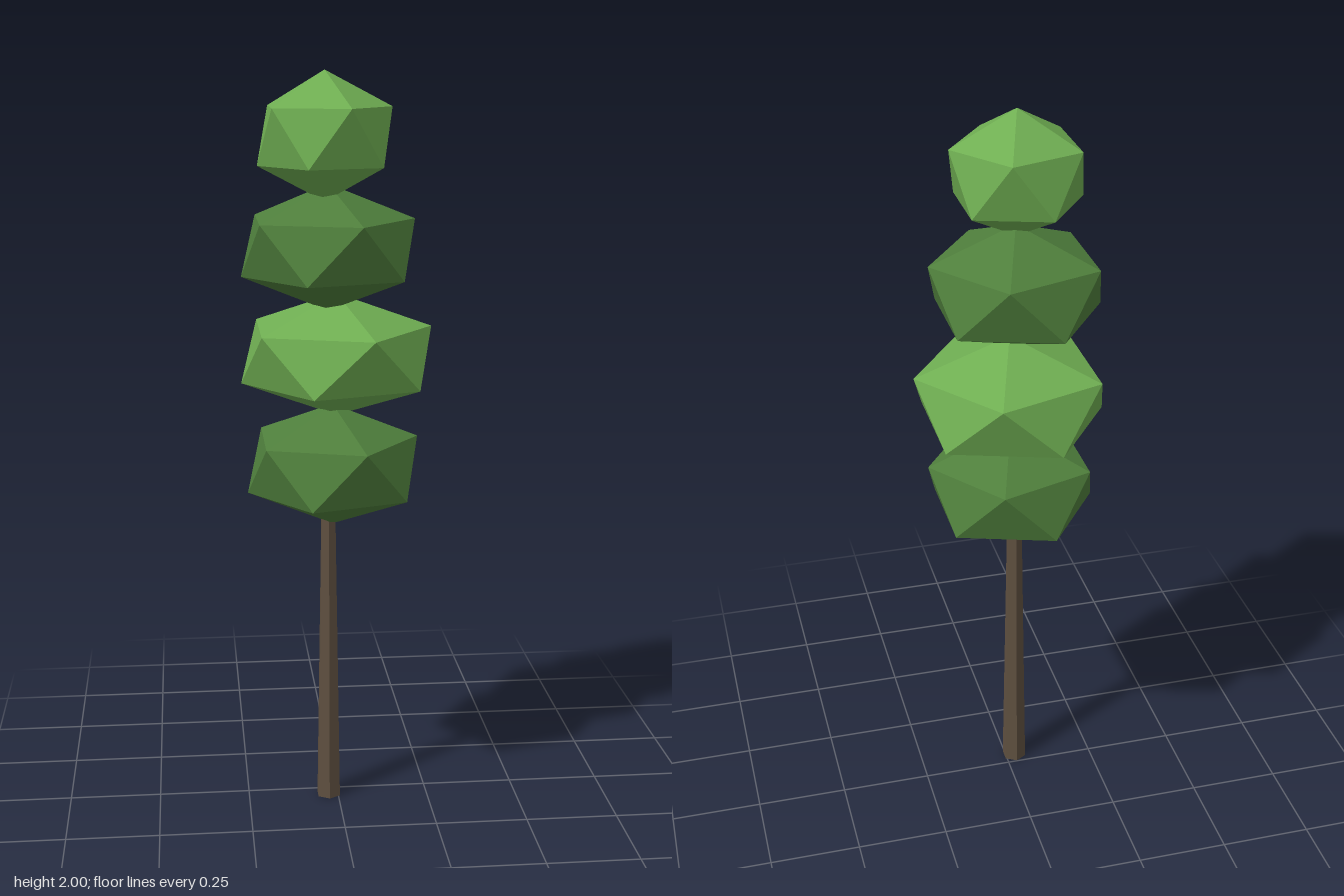
import * as THREE from 'three';

export function createModel() {
  const tree = new THREE.Group();
  tree.name = 'tree';

  const material = (color) => new THREE.MeshStandardMaterial({ color, flatShading: true });
  const lightLeaf = material(0x6fae52);
  const darkLeaf = material(0x4f7f3c);
  const bark = material(0x5f5040);

  // Tapered six-sided trunk, running up into the lowest foliage clump
  const trunkHeight = 0.9;
  const trunk = new THREE.Mesh(new THREE.CylinderGeometry(0.02, 0.035, trunkHeight, 6), bark);
  trunk.name = 'trunk';
  trunk.position.set(-0.026, trunkHeight / 2, 0.037);
  tree.add(trunk);

  // Icosahedron standing on a corner, with an upper-ring corner toward +x
  const clump = new THREE.IcosahedronGeometry(1, 0);
  clump.rotateZ(-Math.atan(2 / (1 + Math.sqrt(5))));

  // Stacked foliage clumps: centre x, y, z, horizontal radius, colour
  const clumps = [
    ['lowerFoliage', -0.014, 0.962, 0.034, 0.256, darkLeaf],
    ['middleFoliage', 0, 1.254, -0.009, 0.286, lightLeaf],
    ['upperFoliage', -0.025, 1.545, 0.025, 0.256, darkLeaf],
    ['topFoliage', -0.036, 1.834, 0.057, 0.195, lightLeaf],
  ];
  for (const [name, x, y, z, radius, leaf] of clumps) {
    const mesh = new THREE.Mesh(clump.clone().scale(radius, 0.166, radius), leaf);
    mesh.name = name;
    mesh.position.set(x, y, z);
    tree.add(mesh);
  }

  return tree;
}
